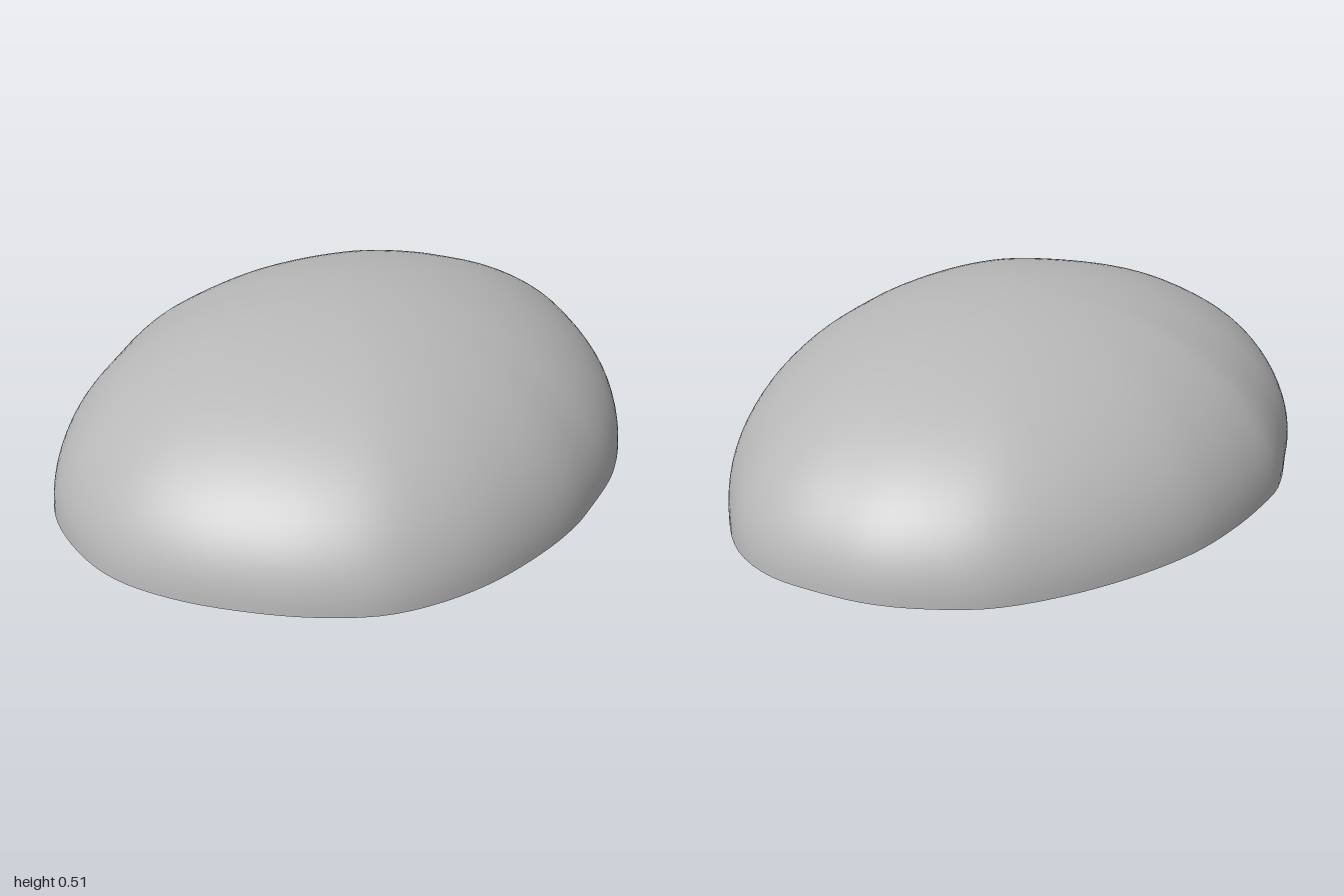
import * as THREE from 'three';

const HEIGHT = 0.51;
const SEGMENTS = 128;
const RINGS = 32;

// Ground outline as [x, z], running from the back round the left (+x) side
const OUTLINE = [
  [0.05, -1], [0.24, -0.98], [0.39, -0.9], [0.53, -0.74], [0.65, -0.55], [0.735, -0.34],
  [0.775, -0.17], [0.786, -0.07], [0.786, 0.08], [0.78, 0.21], [0.75, 0.37], [0.68, 0.58],
  [0.595, 0.73], [0.495, 0.84], [0.35, 0.92], [0.19, 0.97], [0, 0.998], [-0.18, 0.985],
  [-0.32, 0.93], [-0.5, 0.8], [-0.605, 0.665], [-0.7, 0.47], [-0.75, 0.27], [-0.78, 0.135],
  [-0.79, 0.05], [-0.78, -0.07], [-0.757, -0.21], [-0.705, -0.395], [-0.605, -0.59],
  [-0.475, -0.765], [-0.34, -0.89], [-0.18, -0.965], [-0.06, -0.995],
];

function geometryFrom(positions, indices) {
  const geometry = new THREE.BufferGeometry();
  geometry.setAttribute('position', new THREE.Float32BufferAttribute(positions, 3));
  geometry.setIndex(indices);
  geometry.computeVertexNormals();
  return geometry;
}

// Outline shrunk ring by ring along an elliptical rise to the summit
function domeGeometry(rim) {
  const positions = [];
  const indices = [];
  for (let r = 0; r < RINGS; r++) {
    const angle = (r / RINGS) * Math.PI / 2;
    const scale = Math.cos(angle);
    for (const p of rim) {
      positions.push(p.x * scale, HEIGHT * Math.sin(angle), p.z * scale + 0.02 * (1 - scale));
    }
  }
  const summit = RINGS * SEGMENTS;
  positions.push(0, HEIGHT, 0.02);
  for (let r = 0; r < RINGS; r++) {
    for (let s = 0; s < SEGMENTS; s++) {
      const a = r * SEGMENTS + s;
      const b = r * SEGMENTS + (s + 1) % SEGMENTS;
      if (r === RINGS - 1) indices.push(a, summit, b);
      else indices.push(a, a + SEGMENTS, b, b, a + SEGMENTS, b + SEGMENTS);
    }
  }
  return geometryFrom(positions, indices);
}

// Flat underside as a fan facing down
function baseGeometry(rim) {
  const positions = [0, 0, 0];
  const indices = [];
  rim.forEach((p, s) => {
    positions.push(p.x, 0, p.z);
    indices.push(0, s + 1, (s + 1) % SEGMENTS + 1);
  });
  return geometryFrom(positions, indices);
}

export function createModel() {
  const group = new THREE.Group();
  group.name = 'smoothStone';

  const stone = new THREE.MeshStandardMaterial({ color: 0xb8b8b8 });
  stone.name = 'stoneGrey';

  const curve = new THREE.CatmullRomCurve3(
    OUTLINE.map(([x, z]) => new THREE.Vector3(x, 0, z)), true, 'centripetal');
  const rim = curve.getSpacedPoints(SEGMENTS).slice(0, SEGMENTS);

  const dome = new THREE.Mesh(domeGeometry(rim), stone);
  dome.name = 'dome';
  const base = new THREE.Mesh(baseGeometry(rim), stone);
  base.name = 'flatBase';
  group.add(dome, base);
  return group;
}
